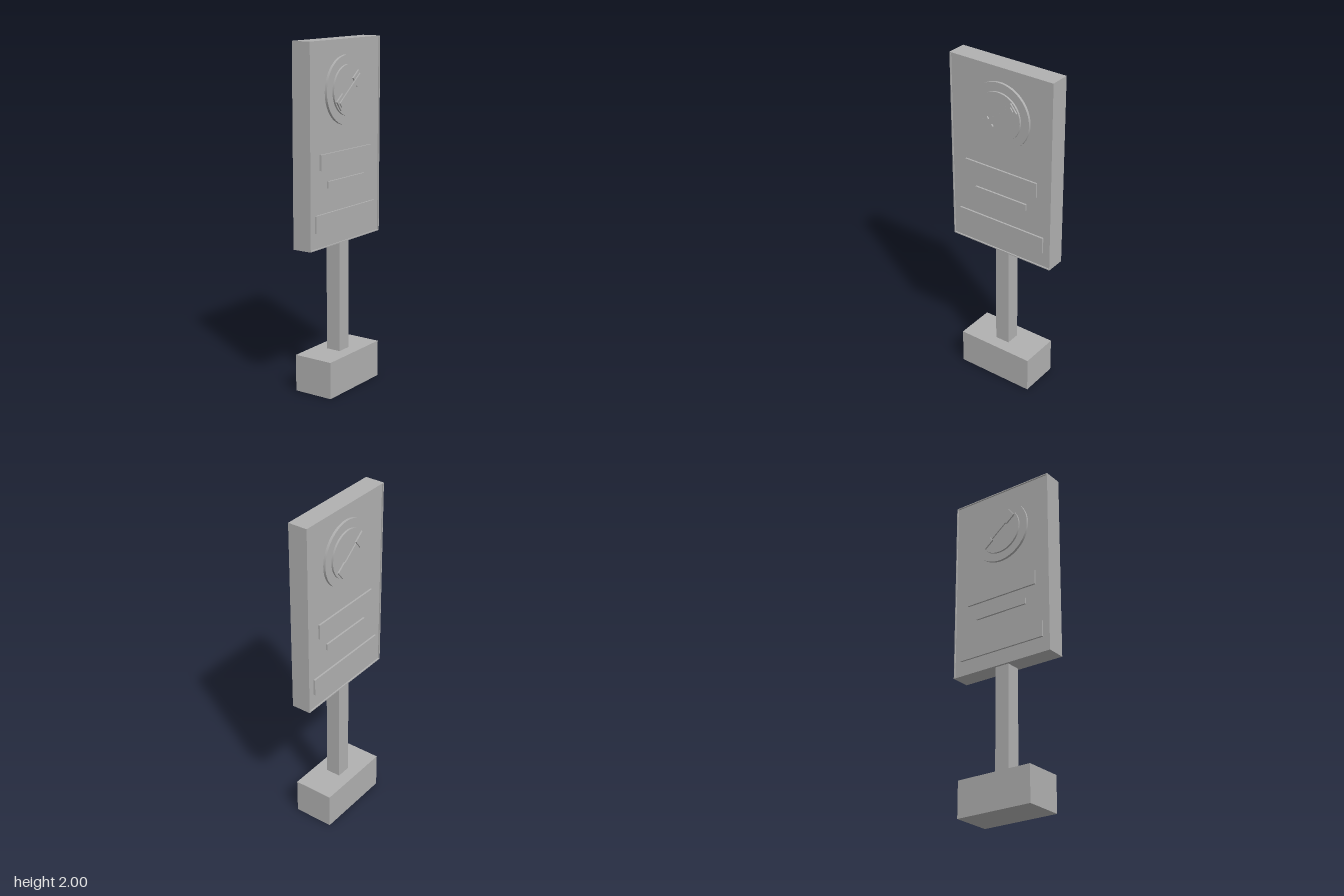
import * as THREE from 'three';

export function createModel() {
  const model = new THREE.Group();
  model.name = 'signPost';
  const grey = new THREE.MeshStandardMaterial({ color: 0xb0b0b0 });
  grey.name = 'grey';

  function add(parent, name, geometry, x, y, z) {
    const mesh = new THREE.Mesh(geometry, grey);
    mesh.name = name;
    mesh.position.set(x, y, z);
    parent.add(mesh);
    return mesh;
  }
  // Box given by its size, its bottom height and its depth centre
  function box(parent, name, w, h, d, bottom, z = 0) {
    return add(parent, name, new THREE.BoxGeometry(w, h, d), 0, bottom + h / 2, z);
  }

  // Foot and post
  box(model, 'base', 0.482, 0.215, 0.242, 0);
  box(model, 'post', 0.09, 0.655, 0.09, 0.21);

  // Board with a narrow raised rim on both faces
  const W = 0.674, bottom = 0.862, H = 2 - bottom, rim = 0.006;
  box(model, 'board', W - 2 * rim, H - 2 * rim, 0.102, bottom + rim);
  const frame = new THREE.Shape([[-1, -1], [1, -1], [1, 1], [-1, 1]]
    .map(([x, y]) => new THREE.Vector2(x * W / 2, y * H / 2)));
  frame.holes.push(new THREE.Path([[-1, -1], [-1, 1], [1, 1], [1, -1]]
    .map(([x, y]) => new THREE.Vector2(x * (W / 2 - rim), y * (H / 2 - rim)))));
  const frameGeometry = new THREE.ExtrudeGeometry(frame, { depth: 0.118, bevelEnabled: false });
  add(model, 'boardRim', frameGeometry, 0, bottom + H / 2, -0.059);

  // Both faces carry the same panels and round badge
  for (const side of [1, -1]) {
    const face = new THREE.Group();
    face.name = side > 0 ? 'frontFace' : 'backFace';
    if (side < 0) face.rotation.y = Math.PI;
    model.add(face);

    // Raised strips: width, height, bottom
    for (const [w, h, y] of [[0.482, 0.088, 1.298], [0.346, 0.038, 1.192], [0.576, 0.098, 0.957]]) {
      box(face, 'strip', w, h, 0.012, y, 0.056);
    }

    // Two stepped discs
    for (const [name, r, z0, z1] of [['badgeRim', 0.193, 0.05, 0.066], ['badgeDisc', 0.142, 0.066, 0.077]]) {
      const disc = new THREE.CylinderGeometry(r, r, z1 - z0, 64).rotateX(Math.PI / 2);
      add(face, name, disc, 0, 1.72, (z0 + z1) / 2);
    }

    // Slanted bar with a wider plate at each end
    const symbol = new THREE.Group();
    symbol.name = 'badgeSymbol';
    symbol.position.set(0, 1.72, 0);
    symbol.rotation.z = 0.66;
    face.add(symbol);
    const barZ = side > 0 ? 0.0895 : 0.0905;
    const plateZ = side > 0 ? 0.0815 : 0.0965;
    add(symbol, 'bar', new THREE.BoxGeometry(0.248, 0.03, 0.007), 0, 0, barZ);
    for (const end of [-1, 1]) {
      add(symbol, 'endPlate', new THREE.BoxGeometry(0.07, 0.064, 0.009), end * 0.098, 0, plateZ);
    }
  }
  return model;
}
